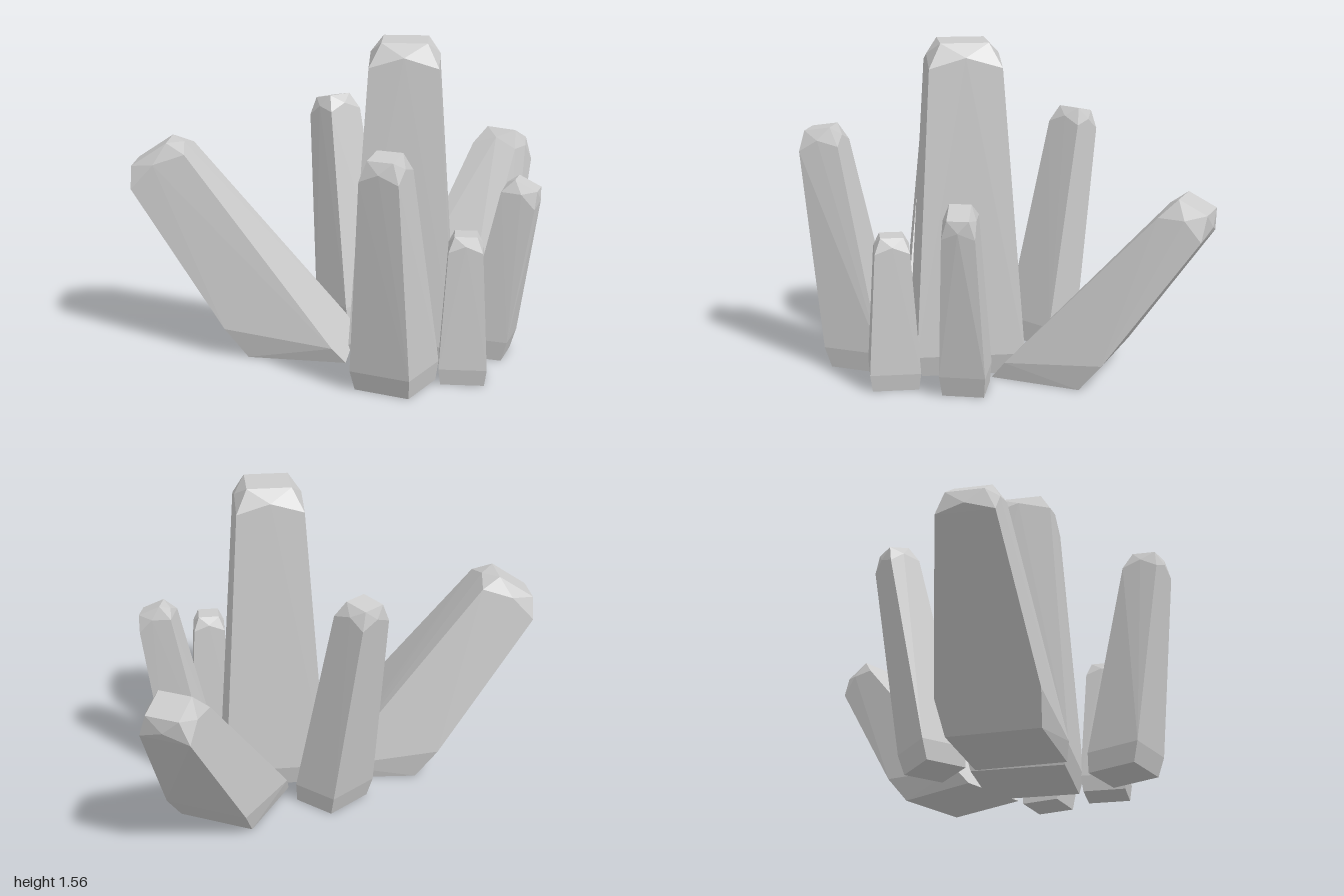
import * as THREE from 'three';
import { ConvexGeometry } from 'three/addons/geometries/ConvexGeometry.js';

const V = (a) => new THREE.Vector3(...a);
const CORNERS = [[-1, -1], [1, -1], [1, 1], [-1, 1]];
const EDGES = [[-1, 0], [1, 0], [0, -1], [0, 1]];

// A cross-section is a centre and two half-width vectors: [c, u, v]
function pointOn([c, u, v], [i, j], scale = 1) {
  return V(c).addScaledVector(V(u), i * scale).addScaledVector(V(v), j * scale);
}

// Four-sided crystal: foot cut level at y = 0, widest waist, tapered shoulder, bevelled tip
function crystal(name, waist, shoulder, tipHeight, material) {
  const axis = V(shoulder[0]).sub(V(waist[0]));
  const up = V(shoulder[1]).cross(V(shoulder[2])).normalize();
  if (up.y < 0) up.negate();
  const footCentre = V(waist[0]).addScaledVector(axis, -waist[0][1] / axis.y);
  const foot = [footCentre.toArray(), waist[1], waist[2]];
  const points = [];
  for (const k of CORNERS) {
    const base = pointOn(foot, k, 0.91);
    base.y = 0;
    points.push(
      base,
      pointOn(waist, k),
      pointOn(shoulder, k, 0.97),
      pointOn(shoulder, k, 0.64).addScaledVector(up, tipHeight)
    );
  }
  // Raised middles of the shoulder edges split the bevel into facets
  for (const k of EDGES) points.push(pointOn(shoulder, k, 0.97).addScaledVector(up, tipHeight * 0.45));
  const mesh = new THREE.Mesh(new ConvexGeometry(points), material);
  mesh.name = name;
  return mesh;
}

export function createModel() {
  const group = new THREE.Group();
  group.name = 'crystalCluster';
  const material = new THREE.MeshStandardMaterial({ color: 0xcccccc, flatShading: true });
  const add = (name, waist, shoulder, tip) => group.add(crystal(name, waist, shoulder, tip, material));

  // Tall upright crystal in the middle
  add('centreCrystal',
    [[0.335, 0.1, 0.155], [0.255, 0, 0], [0, 0, 0.255]],
    [[0.33, 1.45, 0.165], [0.17, 0, 0], [0, 0, 0.175]], 0.11);

  // Two large leaning crystals
  add('rightLeaningCrystal',
    [[-0.25, 0.115, 0.155], [0.265, -0.035, 0.02], [-0.015, 0, 0.25]],
    [[-0.862, 0.91, 0.138], [0.138, 0.092, 0], [0, 0, 0.142]], 0.09);
  add('backLeaningCrystal',
    [[0.593, 0.11, -0.302], [0.187, 0, 0.103], [0.117, 0.025, -0.207]],
    [[0.835, 0.78, -0.8], [0.115, 0, 0.065], [0.05, -0.05, -0.09]], 0.11);

  // Medium crystals behind and in front
  add('backCrystal',
    [[0.055, 0.1, -0.265], [0.11, 0, -0.09], [-0.085, 0, -0.085]],
    [[-0.055, 1.07, -0.43], [0.072, 0, -0.062], [-0.062, -0.02, -0.06]], 0.085);
  add('frontCrystal',
    [[0.315, 0.1, 0.66], [0.14, 0, 0.05], [-0.065, 0, 0.13]],
    [[0.275, 1.065, 0.815], [0.092, 0, 0.03], [-0.03, -0.015, 0.092]], 0.09);

  // Small crystals on the left
  add('leftCrystal',
    [[0.764, 0.1, 0.2], [0.11, 0, 0.028], [-0.027, 0, 0.102]],
    [[0.895, 0.815, 0.235], [0.082, -0.04, 0.018], [-0.018, 0, 0.075]], 0.08);
  add('smallFrontCrystal',
    [[0.633, 0.08, 0.52], [0.113, 0, 0], [0, 0, 0.117]],
    [[0.635, 0.645, 0.525], [0.082, 0, 0], [0, 0, 0.083]], 0.07);

  return group;
}
